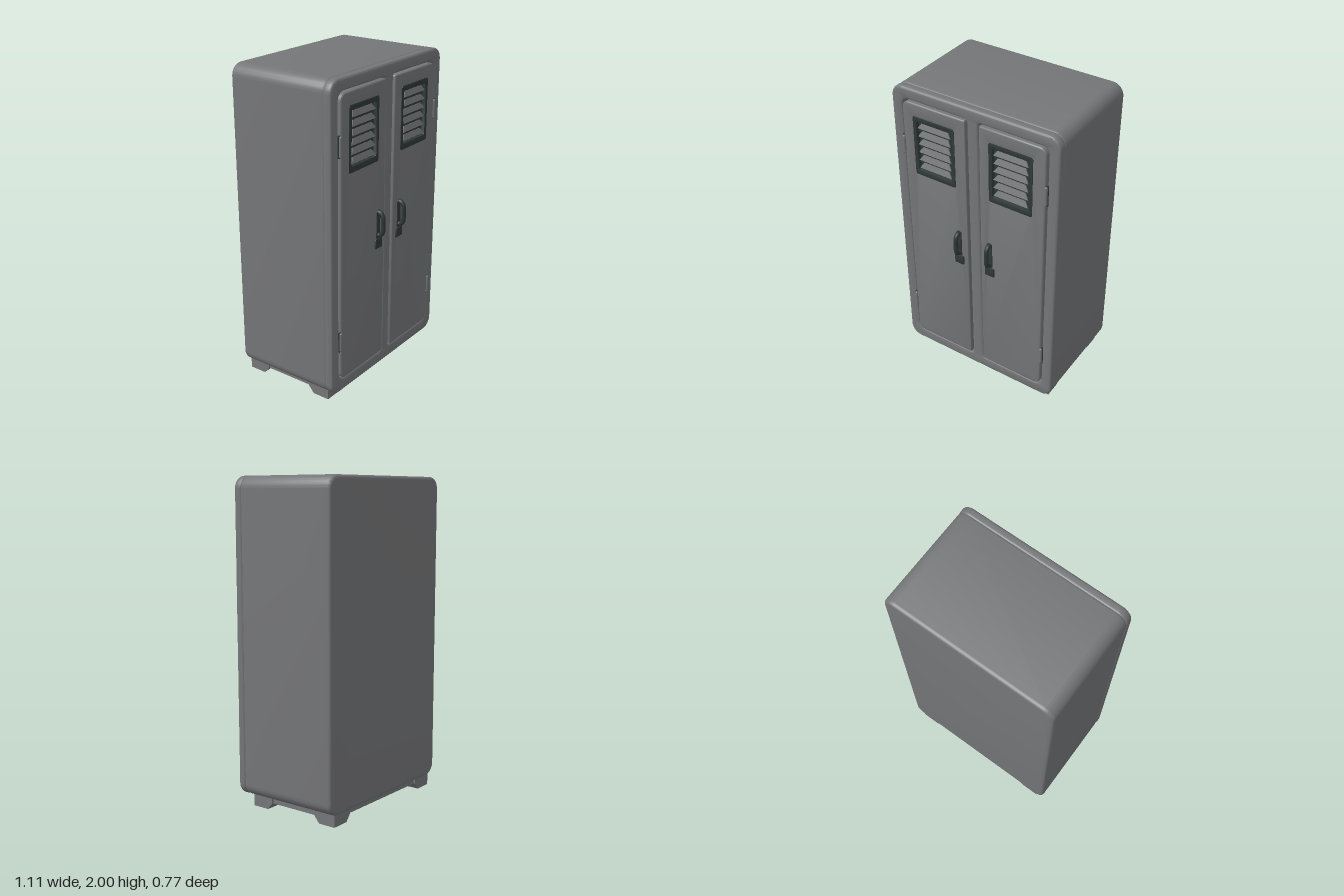
import * as THREE from 'three';
import { toCreasedNormals } from 'three/addons/utils/BufferGeometryUtils.js';

const mat = (name, color) => {
  const m = new THREE.MeshStandardMaterial({ color });
  m.name = name;
  return m;
};

// Rounded rectangle; radii at left and right corners may differ
function rounded(Type, x0, x1, y0, y1, rl, rr = rl) {
  const s = new Type();
  const h = Math.PI / 2;
  s.absarc(x1 - rr, y0 + rr, rr, -h, 0);
  s.absarc(x1 - rr, y1 - rr, rr, 0, h);
  s.absarc(x0 + rl, y1 - rl, rl, h, 2 * h);
  s.absarc(x0 + rl, y0 + rl, rl, 2 * h, 3 * h);
  s.closePath();
  return s;
}

// Extrusion between two depths, with soft edges inside the outline
function slab(shape, z0, z1, bevel, segments = 4) {
  const g = new THREE.ExtrudeGeometry(shape, {
    depth: z1 - z0 - 2 * bevel, curveSegments: 8,
    bevelEnabled: bevel > 0, bevelThickness: bevel, bevelSize: bevel,
    bevelOffset: -bevel, bevelSegments: segments,
  });
  g.translate(0, 0, z0 + bevel);
  return toCreasedNormals(g, 0.6);
}

export function createModel() {
  const group = new THREE.Group();
  const grey = mat('steelGrey', 0x757678);
  const dark = mat('darkMetal', 0x2f3937);

  const add = (name, geometry, material, parent = group) => {
    const mesh = new THREE.Mesh(geometry, material);
    mesh.name = name;
    parent.add(mesh);
    return mesh;
  };
  const box = (name, w, h, d, x, y, z, material, parent) =>
    add(name, new THREE.BoxGeometry(w, h, d), material, parent).position.set(x, y, z);

  // Cabinet body
  add('cabinetBody', slab(rounded(THREE.Shape, -0.553, 0.553, 0.07, 2, 0.075), -0.385, 0.285, 0.022), grey);
  box('doorGasket', 1.0, 1.8, 0.006, 0, 1.04, 0.288, dark);

  // Front frame with two door openings
  const frame = rounded(THREE.Shape, -0.555, 0.555, 0.07, 2, 0.075);
  for (const s of [-1, 1]) {
    const xs = [s * 0.482, s * 0.04].sort((a, b) => a - b);
    frame.holes.push(rounded(THREE.Path, xs[0], xs[1], 0.153, 1.925, s < 0 ? 0.05 : 0.015, s < 0 ? 0.015 : 0.05));
  }
  add('frontFrame', slab(frame, 0.27, 0.326, 0.016), grey);

  // Doors, with vents, handles and hinges
  for (const s of [-1, 1]) {
    const door = new THREE.Group();
    door.name = s < 0 ? 'rightDoor' : 'leftDoor';
    group.add(door);

    const xs = [s * 0.476, s * 0.046].sort((a, b) => a - b);
    const panel = rounded(THREE.Shape, xs[0], xs[1], 0.159, 1.919, s < 0 ? 0.045 : 0.01, s < 0 ? 0.01 : 0.045);
    const vx = s < 0 ? -0.262 : 0.253;
    panel.holes.push(rounded(THREE.Path, vx - 0.13, vx + 0.13, 1.465, 1.825, 0.01));
    add('doorPanel', slab(panel, 0.28, 0.335, 0.009, 3), grey, door);

    // Vent surround, backing and slanted louvres
    const ring = rounded(THREE.Shape, vx - 0.143, vx + 0.143, 1.45, 1.84, 0.015);
    ring.holes.push(rounded(THREE.Path, vx - 0.118, vx + 0.118, 1.487, 1.808, 0.008));
    add('ventFrame', slab(ring, 0.305, 0.338, 0.003, 2), dark, door);
    box('ventBacking', 0.26, 0.36, 0.006, vx, 1.645, 0.312, dark, door);
    const slat = new THREE.Shape([[-0.113, -0.018], [0.113, -0.018], [0.09, 0.018], [-0.09, 0.018]]
      .map(([x, y]) => new THREE.Vector2(x, y)));
    for (let i = 0; i < 6; i++) {
      const louvre = add('ventLouvre', slab(slat, -0.004, 0.004, 0), grey, door);
      louvre.position.set(vx, 1.515 + i * 0.0535, 0.325);
      louvre.rotation.x = -0.35;
    }

    // Pull handle with lock plate
    const hx = s * 0.11;
    const path = new THREE.CatmullRomCurve3([
      [0.985, 0.325], [0.985, 0.352], [1.005, 0.369], [1.06, 0.371],
      [1.105, 0.369], [1.128, 0.352], [1.128, 0.325],
    ].map(([y, z]) => new THREE.Vector3(hx, y, z)));
    add('pullHandle', new THREE.TubeGeometry(path, 32, 0.014, 10), dark, door);
    add('handleMount', slab(rounded(THREE.Shape, hx - 0.018, hx + 0.018, 0.955, 1.145, 0.016), 0.33, 0.339, 0.003, 2), dark, door);
    add('lockPlate', slab(rounded(THREE.Shape, hx - 0.032, hx + 0.032, 0.898, 0.96, 0.005), 0.33, 0.344, 0.003, 2), dark, door);

    // Hinge barrels on thin leaves
    for (const y of [0.417, 1.625]) {
      box('hingeLeaf', 0.026, 0.13, 0.008, s * 0.478, y, 0.327, dark, door);
      add('hingeBarrel', new THREE.CapsuleGeometry(0.01, 0.105, 4, 10), grey, door)
        .position.set(s * 0.479, y, 0.334);
    }
  }

  // Base plate and splayed corner feet
  box('basePlate', 0.98, 0.04, 0.6, 0, 0.06, -0.06, grey);
  for (const sx of [-1, 1]) {
    for (const sz of [-1, 1]) {
      const foot = new THREE.BoxGeometry(1, 1, 1, 1, 2, 1);
      const p = foot.attributes.position;
      for (let i = 0; i < p.count; i++) {
        const level = p.getY(i);
        const flare = level < -0.1 ? 0 : 0.035;
        const inX = p.getX(i) * sx < 0;
        const inZ = p.getZ(i) * sz < 0;
        const y = level < -0.1 ? 0 : level < 0.1 ? 0.042 : 0.08;
        p.setXYZ(i, sx * (inX ? 0.385 - flare : 0.5), y, -0.06 + sz * (inZ ? 0.2 - flare : 0.312));
      }
      add('foot', toCreasedNormals(foot.toNonIndexed(), 0.3), grey);
    }
  }
  return group;
}
